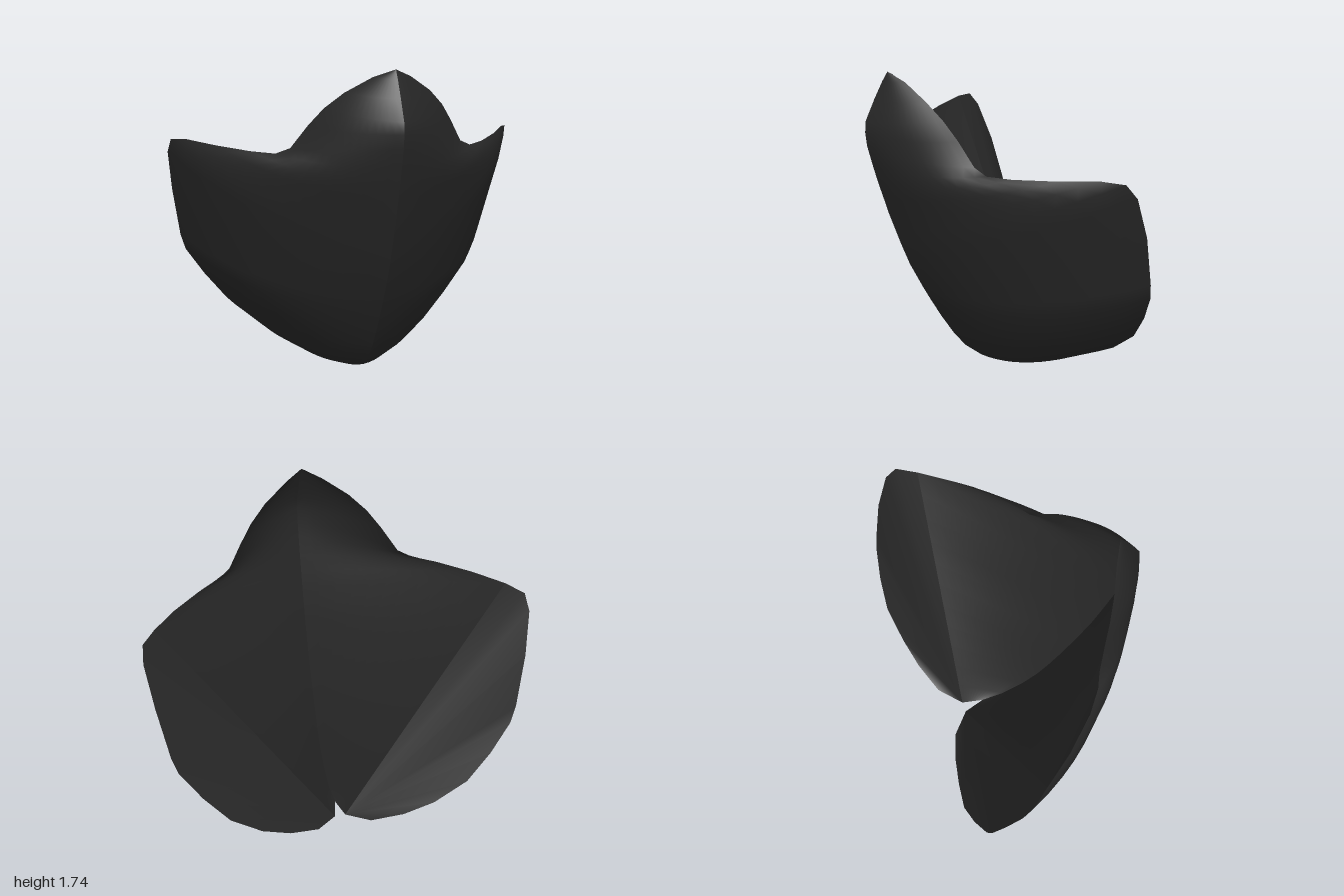
import * as THREE from 'three';

// Rows from top to chin: centre seam (y, z), then matching rim point (x, y, z)
const ROWS = [
  [1.74, 0.5, 0, 1.74, 0.5],
  [1.69, 0.53, 0.1, 1.7, 0.44],
  [1.6, 0.575, 0.23, 1.62, 0.375],
  [1.49, 0.625, 0.32, 1.54, 0.32],
  [1.43, 0.628, 0.39, 1.45, 0.27],
  [1.36, 0.62, 0.47, 1.33, 0.215],
  [1.26, 0.595, 0.54, 1.3, 0.18],
  [1.15, 0.565, 0.65, 1.305, 0.09],
  [1.07, 0.54, 0.8, 1.32, -0.08],
  [0.98, 0.513, 0.92, 1.335, -0.25],
  [0.88, 0.478, 0.99, 1.325, -0.35],
  [0.8, 0.45, 1, 1.25, -0.41],
  [0.67, 0.4, 0.97, 1.03, -0.49],
  [0.52, 0.325, 0.92, 0.75, -0.555],
  [0.44, 0.282, 0.89, 0.66, -0.575],
  [0.33, 0.22, 0.78, 0.5, -0.61],
  [0.22, 0.15, 0.65, 0.34, -0.63],
  [0.13, 0.08, 0.48, 0.2, -0.605],
  [0.05, -0.02, 0.32, 0.115, -0.57],
  [0.005, -0.15, 0.15, 0.05, -0.51],
  [0.02, -0.28, 0.03, 0.02, -0.4],
];
const STEPS = 12;
const FOLD = 9; // rim row where the inner fold to the chin begins
const seam = ROWS.map(([y, z]) => new THREE.Vector3(0, y, z));
const rim = ROWS.map(([, , x, y, z]) => new THREE.Vector3(x, y, z));
const last = ROWS.length - 1;

// Straight fold running from the upper back corner down to the chin
const foldEnds = rim.map((p, i) => (i <= FOLD ? p
  : rim[FOLD].clone().lerp(rim[last], (i - FOLD) / (last - FOLD))));

// Builds a mesh from points and triangles, mirrored when side is -1
function sheet(name, points, triangles, side, material) {
  const geometry = new THREE.BufferGeometry().setFromPoints(
    points.map((p) => new THREE.Vector3(p.x * side, p.y, p.z)));
  geometry.setIndex(triangles.flatMap(([a, b, c]) => (side > 0 ? [a, b, c] : [a, c, b])));
  geometry.computeVertexNormals();
  const mesh = new THREE.Mesh(geometry, material);
  mesh.name = name;
  return mesh;
}

// Sheet of rows from the seam to the given ends, each bowed outward by bowAt(t)
function bowedSheet(name, ends, bowAt, side, material) {
  const points = [];
  const triangles = [];
  ends.forEach((end, i) => {
    const t = i / last;
    const bow = new THREE.Vector3(0.62, -0.1 - 0.25 * t, 0.72).normalize();
    const control = seam[i].clone().lerp(end, 0.5)
      .addScaledVector(bow, seam[i].distanceTo(end) * bowAt(t));
    points.push(...new THREE.QuadraticBezierCurve3(seam[i], control, end).getPoints(STEPS));
  });
  for (let i = 0; i < last; i++) {
    for (let j = 0; j < STEPS; j++) {
      const a = i * (STEPS + 1) + j;
      const b = a + STEPS + 1;
      if (i > 0) triangles.push([a, b, a + 1]);
      triangles.push([a + 1, b, b + 1]);
    }
  }
  return sheet(name, points, triangles, side, material);
}

// Chin flap: fans from the chin to the back and lower rim
function chinFlap(side, material) {
  const points = rim.slice(FOLD);
  const chin = points.length - 1;
  const triangles = [];
  for (let i = 0; i < chin - 1; i++) triangles.push([chin, i, i + 1]);
  return sheet('chinFlap', points, triangles, side, material);
}

export function createModel() {
  const model = new THREE.Group();
  model.name = 'faceMask';
  const fabric = new THREE.MeshStandardMaterial({ color: 0x262626, side: THREE.DoubleSide });
  fabric.name = 'blackFabric';
  for (const [name, side] of [['leftPanel', 1], ['rightPanel', -1]]) {
    const panel = new THREE.Group();
    panel.name = name;
    panel.add(
      bowedSheet('outerShell', rim, (t) => (t < 1 ? 0.17 + 0.1 * t : 0), side, fabric),
      bowedSheet('innerLining', foldEnds, (t) => 0.14 * (1 - t), side, fabric),
      chinFlap(side, fabric),
    );
    model.add(panel);
  }
  return model;
}
